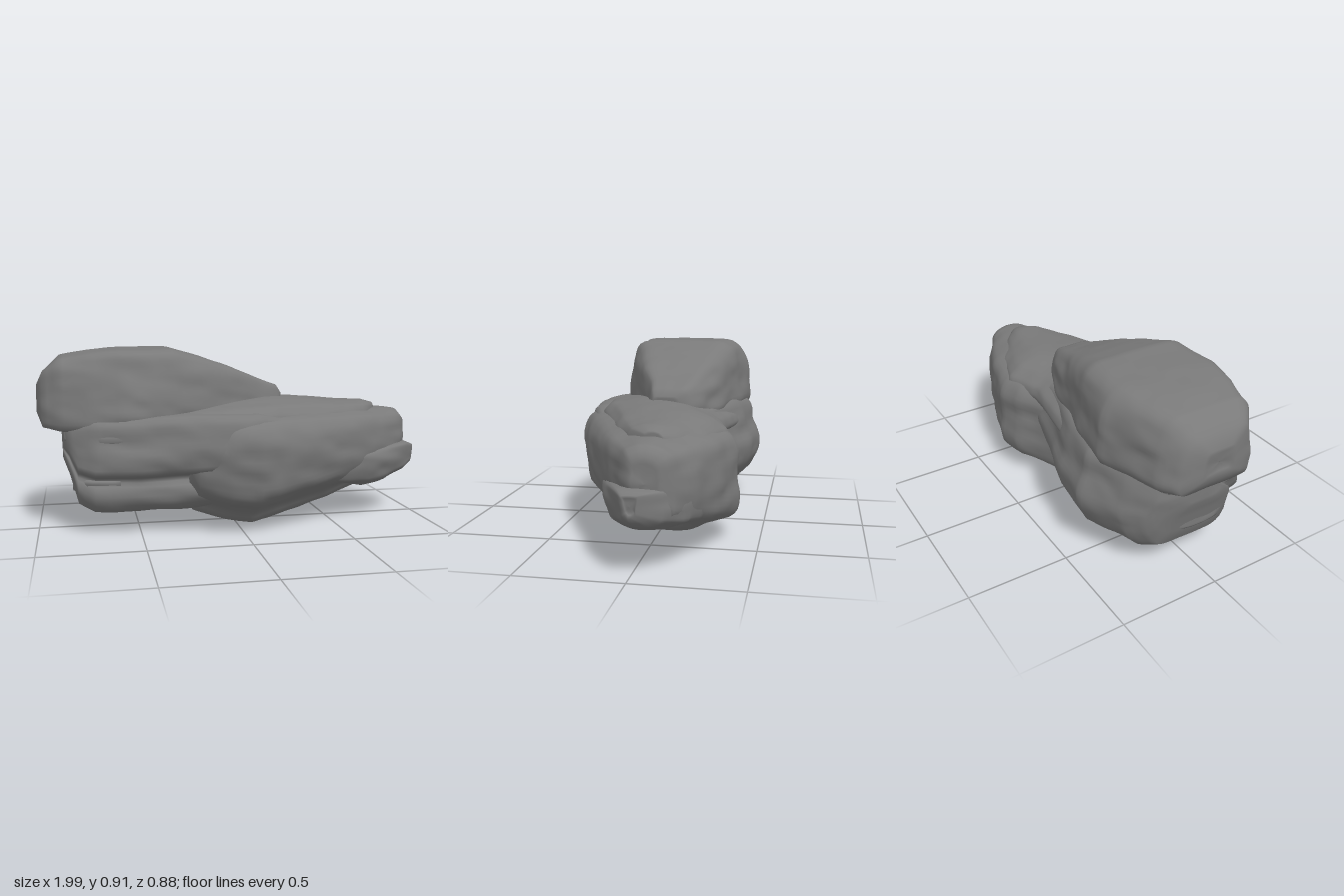
import * as THREE from 'three';

const material = new THREE.MeshStandardMaterial({ color: 0x7a7a7a });

// Seeded value noise in -1..1
function hash(x, y, z) {
  const s = Math.sin(x * 127.1 + y * 311.7 + z * 74.7) * 43758.5453;
  return (s - Math.floor(s)) * 2 - 1;
}
function noise(x, y, z) {
  const i = Math.floor(x), j = Math.floor(y), k = Math.floor(z);
  const f = t => t * t * (3 - 2 * t);
  const u = f(x - i), v = f(y - j), w = f(z - k);
  const mix = THREE.MathUtils.lerp;
  const row = (b, c) => mix(hash(i, j + b, k + c), hash(i + 1, j + b, k + c), u);
  return mix(mix(row(0, 0), row(1, 0), v), mix(row(0, 1), row(1, 1), v), w);
}

// Weathering: broad dents plus thin horizontal strata
function weather(x, y, z, seed) {
  const broad = noise(x * 4 + seed, y * 6, z * 4);
  const strata = noise(x * 5 + seed, y * 17 + x * 2, z * 5);
  const grain = noise(x * 14, y * 22 + seed, z * 14);
  return broad * 0.013 + strata * 0.01 + grain * 0.004;
}

// Rock mass lofted along x.
// stations: [x, yBottom, yTop, zBack, zFront]; profile: [z, y] in a -1..1 box, from front over the top
function slab(name, stations, profile, seed) {
  const AROUND = 72;
  const loop = new THREE.CatmullRomCurve3(
    profile.map(([z, y]) => new THREE.Vector3(0, y, z)), true, 'catmullrom', 0.3
  ).getSpacedPoints(AROUND).slice(0, AROUND);

  // Interpolated sections, with shrinking rings that close both ends
  const rings = [];
  const first = stations[0], last = stations[stations.length - 1];
  for (const s of [0.02, 0.4, 0.75]) rings.push([first, s]);
  for (let i = 0; i < stations.length - 1; i++) {
    const a = stations[i], b = stations[i + 1];
    const steps = Math.max(2, Math.round((b[0] - a[0]) / 0.025));
    for (let k = 0; k < steps; k++) {
      rings.push([a.map((v, n) => v + (b[n] - v) * k / steps), 1]);
    }
  }
  for (const s of [1, 0.75, 0.4, 0.02]) rings.push([last, s]);

  const position = [], index = [];
  rings.forEach(([[x, y0, y1, z0, z1], scale], r) => {
    for (let j = 0; j < AROUND; j++) {
      const py = loop[j].y * scale, pz = loop[j].z * scale;
      const y = (y0 + y1) / 2 + py * (y1 - y0) / 2;
      const z = (z0 + z1) / 2 + pz * (z1 - z0) / 2;
      const d = weather(x, y, z, seed);
      const len = Math.hypot(py, pz);
      const end = scale < 1 ? Math.sign(x - (first[0] + last[0]) / 2) : 0;
      position.push(
        x + end * d * 0.7,
        Math.max(0, y + d * scale * 0.6 * py / len),
        z + d * scale * pz / len
      );
      if (r < rings.length - 1) {
        const p = r * AROUND + j, q = r * AROUND + (j + 1) % AROUND;
        index.push(p, p + AROUND, q, q, p + AROUND, q + AROUND);
      }
    }
  });
  // End points
  for (const [ring, flip] of [[0, false], [rings.length - 1, true]]) {
    const c = position.length / 3, base = ring * AROUND;
    const [x, y0, y1, z0, z1] = rings[ring][0];
    position.push(x, (y0 + y1) / 2, (z0 + z1) / 2);
    for (let j = 0; j < AROUND; j++) {
      const p = base + j, q = base + (j + 1) % AROUND;
      index.push(c, flip ? q : p, flip ? p : q);
    }
  }
  const geometry = new THREE.BufferGeometry();
  geometry.setAttribute('position', new THREE.Float32BufferAttribute(position, 3));
  geometry.setIndex(index);
  geometry.computeVertexNormals();
  const mesh = new THREE.Mesh(geometry, material);
  mesh.name = name;
  return mesh;
}

// Cross-section shapes
const boulder = [[1, -0.6], [0.97, -0.1], [0.88, 0.6], [0.81, 0.88], [0.66, 0.99], [0, 1],
  [-0.6, 0.97], [-0.79, 0.76], [-0.9, 0.35], [-0.97, -0.2], [-1, -0.7], [-0.85, -1], [0, -1], [0.88, -1]];
// Domed, with the back edge lower than the front
const dome = [[1, -0.5], [0.94, 0.2], [0.78, 0.72], [0.4, 0.97], [0, 1], [-0.4, 0.85],
  [-0.75, 0.4], [-0.95, -0.15], [-1, -0.7], [-0.9, -1], [0, -1], [0.92, -1]];
// Front seam with a set-back ledge below it, bulging back that tucks under
const ledged = [[1, 0.3], [0.97, 0.8], [0.85, 0.98], [0, 1], [-0.76, 0.98], [-0.89, 0.72],
  [-0.95, 0.3], [-1, 0], [-0.96, -0.35], [-0.84, -0.68], [-0.6, -0.95], [0, -1], [0.4, -0.99],
  [0.6, -0.88], [0.73, -0.65], [0.74, -0.42], [0.66, -0.3], [0.7, -0.2], [0.93, -0.1]];
// Crowned top, steep back wall, and a narrow foot under the middle
const keel = [[1, 0.25], [0.98, 0.62], [0.84, 0.86], [0.35, 0.99], [-0.1, 1], [-0.55, 0.9],
  [-0.86, 0.74], [-0.96, 0.55], [-0.99, 0.1], [-1, -0.25], [-0.96, -0.6], [-0.85, -0.73],
  [-0.6, -0.84], [-0.42, -0.97], [-0.1, -1], [0.2, -0.93], [0.36, -0.7], [0.7, -0.5],
  [0.88, -0.32], [0.96, -0.1]];
const lip = [[1, 0.3], [0.95, 0.9], [0, 1], [-0.93, 0.9], [-1, 0.2], [-0.93, -0.6],
  [-0.4, -0.95], [0.3, -1], [0.85, -0.6]];

export function createModel() {
  const rock = new THREE.Group();
  rock.name = 'layeredRock';

  rock.add(slab('capBoulder', [
    [-0.99, 0.6, 0.74, -0.12, 0.07],
    [-0.96, 0.54, 0.8, -0.21, 0.17],
    [-0.88, 0.53, 0.87, -0.27, 0.23],
    [-0.74, 0.53, 0.895, -0.32, 0.28],
    [-0.58, 0.53, 0.91, -0.375, 0.31],
    [-0.34, 0.54, 0.915, -0.345, 0.29],
    [-0.18, 0.55, 0.865, -0.3, 0.23],
    [0, 0.56, 0.8, -0.25, 0.16],
    [0.13, 0.57, 0.755, -0.2, 0.1],
    [0.22, 0.58, 0.72, -0.15, 0.07],
    [0.245, 0.6, 0.68, -0.1, 0.05],
  ], boulder, 3));

  rock.add(slab('topPlate', [
    [-0.86, 0.48, 0.57, -0.2, 0.2],
    [-0.7, 0.47, 0.59, -0.32, 0.3],
    [-0.45, 0.47, 0.62, -0.38, 0.35],
    [-0.1, 0.47, 0.645, -0.33, 0.38],
    [0.15, 0.48, 0.66, -0.3, 0.33],
    [0.35, 0.48, 0.65, -0.35, 0.24],
    [0.55, 0.49, 0.635, -0.28, 0.15],
    [0.72, 0.5, 0.62, -0.19, 0.06],
    [0.78, 0.53, 0.605, -0.13, -0.02],
  ], dome, 11));

  // The two large masses meet in a cleft at the back
  rock.add(slab('rightMass', [
    [-0.87, 0.38, 0.53, -0.14, 0.17],
    [-0.84, 0.3, 0.57, -0.22, 0.24],
    [-0.8, 0.15, 0.58, -0.27, 0.27],
    [-0.72, 0.105, 0.59, -0.34, 0.32],
    [-0.5, 0.1, 0.6, -0.435, 0.37],
    [-0.28, 0.11, 0.61, -0.4, 0.4],
    [-0.1, 0.13, 0.61, -0.345, 0.42],
    [0.06, 0.16, 0.61, -0.305, 0.4],
    [0.2, 0.27, 0.58, -0.29, 0.34],
  ], ledged, 23));

  rock.add(slab('leftMass', [
    [-0.27, 0.18, 0.56, -0.1, 0.35],
    [-0.23, 0.09, 0.58, -0.17, 0.39],
    [-0.07, 0.03, 0.6, -0.21, 0.425],
    [0.07, 0, 0.61, -0.27, 0.435],
    [0.16, 0.01, 0.61, -0.32, 0.415],
    [0.24, 0.025, 0.61, -0.37, 0.385],
    [0.36, 0.05, 0.605, -0.4, 0.335],
    [0.6, 0.12, 0.595, -0.335, 0.225],
    [0.8, 0.18, 0.585, -0.25, 0.115],
    [0.91, 0.23, 0.57, -0.19, 0.04],
    [0.945, 0.3, 0.53, -0.14, 0],
  ], keel, 37));

  // Lower lip that juts out past the pointed end
  rock.add(slab('lowerLip', [
    [0.4, 0.2, 0.36, -0.3, 0.24],
    [0.7, 0.165, 0.385, -0.28, 0.17],
    [0.82, 0.19, 0.395, -0.24, 0.13],
    [0.95, 0.23, 0.4, -0.15, 0.06],
    [0.995, 0.27, 0.385, -0.06, 0.03],
  ], lip, 51));

  // Small knob on the seam at the blunt end
  rock.add(slab('seamKnob', [
    [-0.825, 0.215, 0.265, -0.08, 0.14],
    [-0.76, 0.2, 0.29, -0.2, 0.21],
    [-0.6, 0.2, 0.29, -0.25, 0.23],
  ], lip, 67));

  return rock;
}
